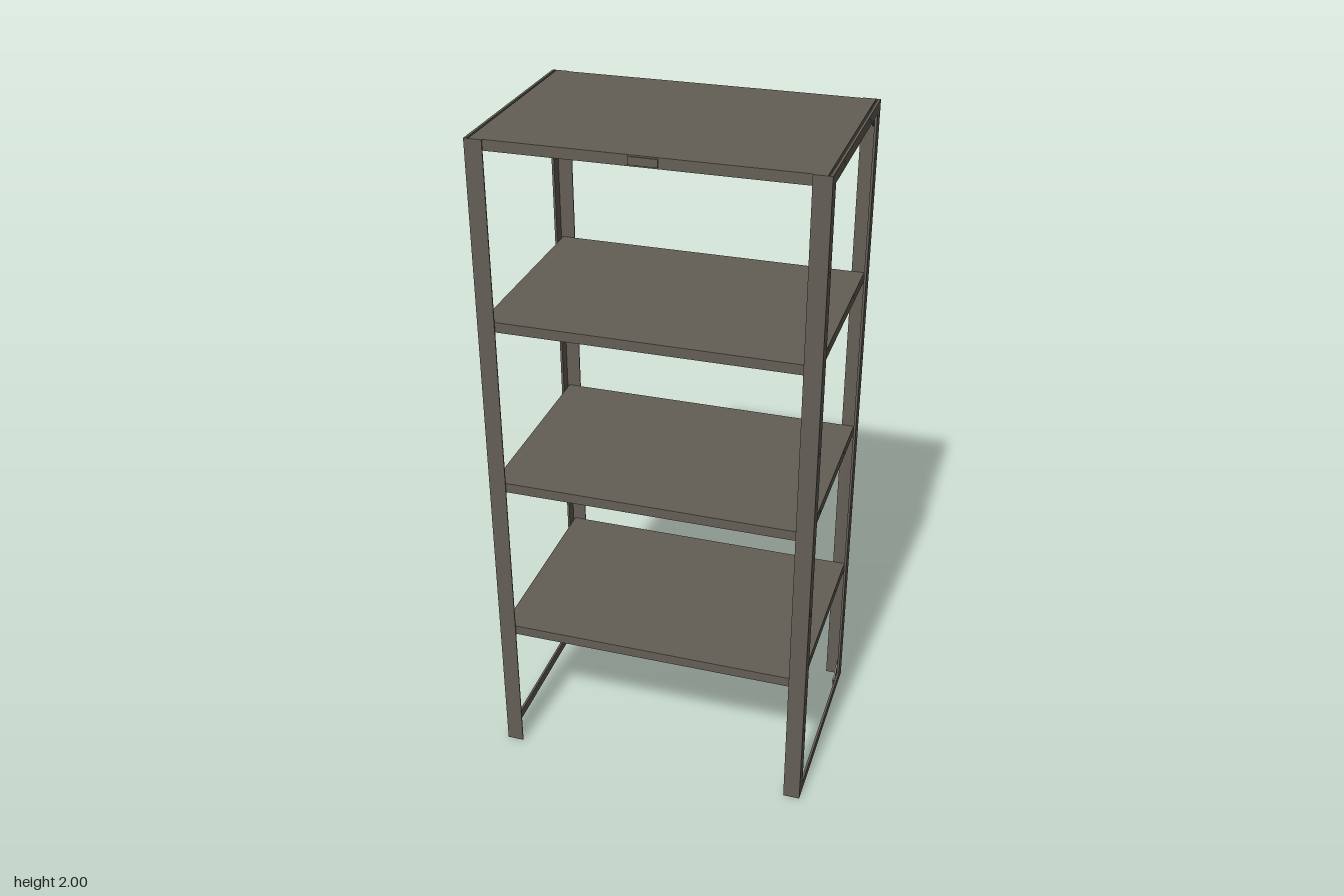
import * as THREE from 'three';

const W = 0.48, D = 0.315, H = 2;      // half width, half depth, height
const T = 0.004;                       // sheet thickness
const SHELF_W = 0.467, SHELF_D = D - T, LIP = 0.03;
const SHELF_TOPS = [0.455, 0.97, 1.485, 2];
const HOLE_Z = 0.17, POST_HOLE_Z = 0.295;

export function createModel() {
  const steel = new THREE.MeshStandardMaterial({ color: 0x645e55 });
  steel.name = 'warm grey steel';
  const model = new THREE.Group();
  model.name = 'shelvingUnit';

  const add = (parent, name, geometry, x = 0, y = 0, z = 0) => {
    const mesh = new THREE.Mesh(geometry, steel);
    mesh.name = name;
    mesh.position.set(x, y, z);
    parent.add(mesh);
    return mesh;
  };
  const box = (parent, name, w, h, d, x, y, z) =>
    add(parent, name, new THREE.BoxGeometry(w, h, d), x, y, z);

  const polygon = (pts, Type = THREE.Shape) =>
    new Type(pts.map(([a, b]) => new THREE.Vector2(a, b)));
  const rect = (z, y0, y1) => [[-z, y0], [z, y0], [z, y1], [-z, y1]];
  const punch = (shape, z, y) => {
    const hole = new THREE.Path();
    hole.absarc(z, y, 0.005, 0, Math.PI * 2, true);
    shape.holes.push(hole);
  };
  // Sheet drawn in the z-y plane, thickened along x
  const sidePlate = (shape, depth) => {
    const g = new THREE.ExtrudeGeometry(shape, { depth, bevelEnabled: false, curveSegments: 6 });
    g.rotateY(Math.PI / 2);
    g.translate(-depth / 2, 0, 0);
    return g;
  };

  // Side frames: upright flanges joined by a top and a bottom rail
  const frame = polygon(rect(D - T, 0, H));
  frame.holes.push(polygon(rect(D - 0.04, LIP, H - LIP), THREE.Path));
  for (const z of [-1, 1]) {
    for (const y of [0.255, 0.685, 1.215, 1.74]) punch(frame, z * POST_HOLE_Z, y);
    punch(frame, z * HOLE_Z, H - LIP / 2);
  }
  const frameGeometry = sidePlate(frame, 0.007);

  // Corner gusset, drawn for the +z lower corner
  const gusset = polygon([
    [0.235, 0.005], [D - 0.006, 0.005], [D - 0.006, 0.065],
    [0.275, 0.065], [0.235, 0.03],
  ]);
  const gussetGeometry = sidePlate(gusset, 0.005);
  const boltGeometry = new THREE.CylinderGeometry(0.006, 0.006, 0.004, 6).rotateZ(Math.PI / 2);

  for (const s of [-1, 1]) {
    const side = new THREE.Group();
    side.name = s > 0 ? 'leftSideFrame' : 'rightSideFrame';
    model.add(side);
    add(side, 'sideFrame', frameGeometry, s * (W - 0.0035));
    for (const f of [-1, 1]) {
      // Outer flange of each angle post
      box(side, f > 0 ? 'frontPost' : 'backPost', 0.05, H, T,
        s * (W - 0.025), H / 2, f * (D - T / 2));
      for (const top of [0, 1]) {
        const plate = add(side, 'cornerGusset', gussetGeometry, s * (W - 0.0095), top * H, 0);
        // Half turns keep the faces pointing outward
        if (top && f > 0) plate.rotation.x = Math.PI;
        else if (top) plate.rotation.z = Math.PI;
        else if (f > 0) plate.rotation.y = Math.PI;
        for (const z of [0.25, 0.293])
          add(side, 'gussetBolt', boltGeometry, s * (W - 0.014), top ? H - 0.017 : 0.017, f * z);
      }
    }
  }

  // Shelves: flat pans with lips turned down on all four edges
  const lip = polygon(rect(SHELF_D - T, -LIP, -T));
  for (const z of [-HOLE_Z, HOLE_Z]) punch(lip, z, -LIP / 2);
  const lipGeometry = sidePlate(lip, T);
  SHELF_TOPS.forEach((y) => {
    const shelf = new THREE.Group();
    shelf.name = 'shelf';
    shelf.position.y = y;
    model.add(shelf);
    box(shelf, 'shelfDeck', SHELF_W * 2, T, SHELF_D * 2, 0, -T / 2, 0);
    for (const s of [-1, 1]) {
      add(shelf, 'sideLip', lipGeometry, s * (SHELF_W - T / 2));
      box(shelf, s > 0 ? 'frontLip' : 'backLip', SHELF_W * 2, LIP - T, T,
        0, -(LIP + T) / 2, s * (SHELF_D - T / 2));
    }
  });

  // Small blank plate on the front edge of the top shelf
  box(model, 'frontPlate', 0.08, 0.022, 0.003, 0, H - LIP / 2, SHELF_D + 0.0015);

  return model;
}
